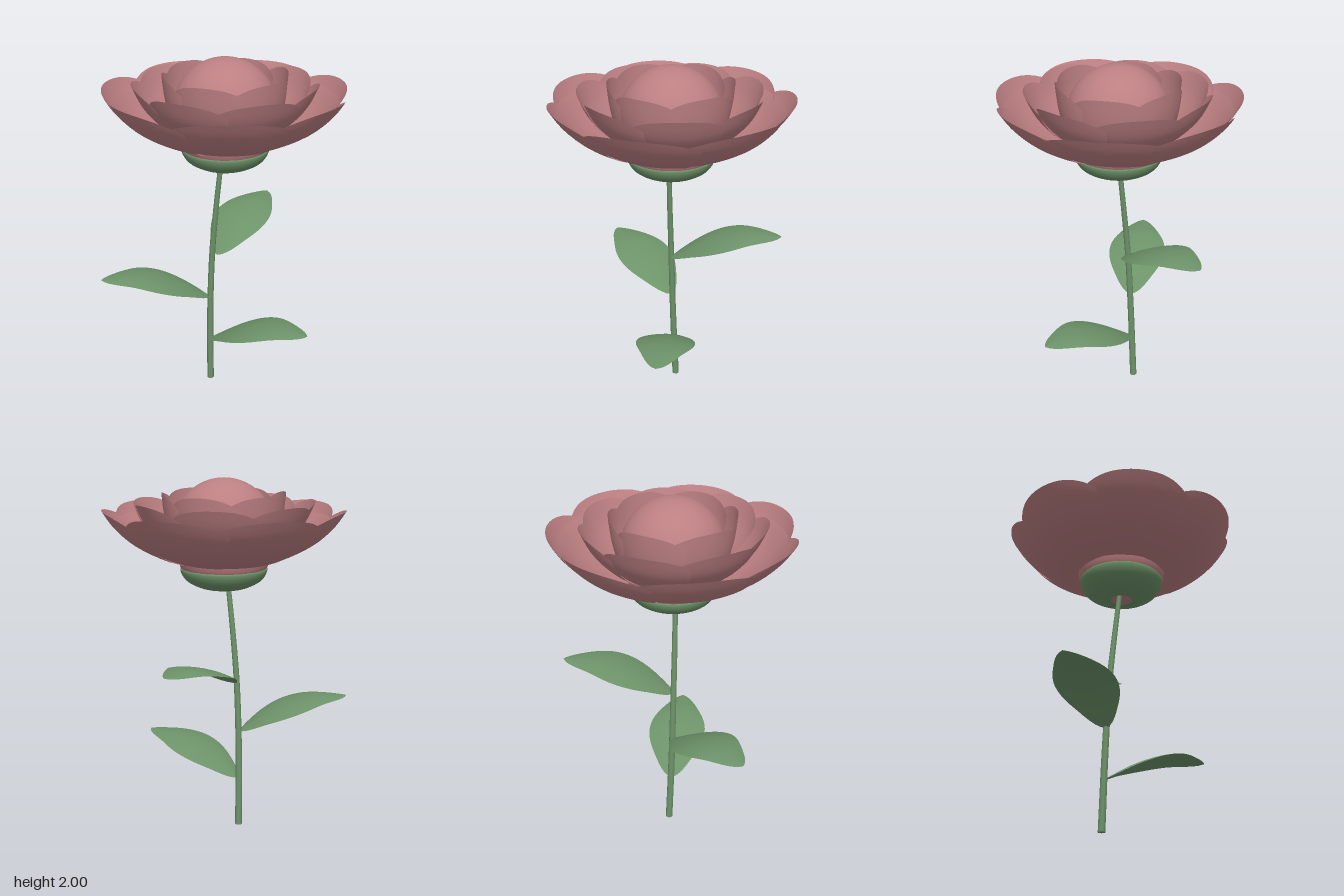
import * as THREE from 'three';

const pink = new THREE.MeshStandardMaterial({ color: 0xbc7f82, side: THREE.DoubleSide });
pink.name = 'petal pink';
const green = new THREE.MeshStandardMaterial({ color: 0x6d9369, side: THREE.DoubleSide });
green.name = 'leaf green';

// Smooth grid surface from a rule: point(u, v) with u in -1..1 and v in 0..1
function patch(point, nu, nv) {
  const geo = new THREE.PlaneGeometry(2, 1, nu, nv);
  const pos = geo.attributes.position;
  for (let i = 0; i < pos.count; i++) {
    const p = point(pos.getX(i), pos.getY(i) + 0.5);
    pos.setXYZ(i, p.x, p.y, p.z);
  }
  geo.computeVertexNormals();
  return geo;
}

const spline = (pts) => new THREE.SplineCurve(pts.map(([x, y]) => new THREE.Vector2(x, y)));

function part(name, geo, mat) {
  const mesh = new THREE.Mesh(geo, mat);
  mesh.name = name;
  return mesh;
}

// Ring of overlapping cupped petals; profile is (radius, height) from base to tip
function petalRing(name, count, startDeg, profile, overlap) {
  const ring = new THREE.Group();
  ring.name = name;
  const curve = spline(profile);
  const half = (Math.PI / count) * overlap;
  const geo = patch((u, v) => {
    const p = curve.getPoint(v * (1 - 0.2 * u * u * v));
    const a = u * half * (0.85 + 0.15 * Math.sin(v * Math.PI * 0.6));
    const r = p.x * (1 - 0.03 * u * u * v) - 0.008 * u;
    return new THREE.Vector3(r * Math.cos(a), p.y, r * Math.sin(a));
  }, 20, 14);
  for (let i = 0; i < count; i++) {
    const petal = part('petal', geo, pink);
    petal.rotation.y = -THREE.MathUtils.degToRad(startDeg + (i * 360) / count);
    ring.add(petal);
  }
  return ring;
}

// Arched leaf running out along +x, edges drooping, with a pointed tip
const leafArch = spline([[0, 0], [0.15, 0.095], [0.3, 0.16], [0.45, 0.19], [0.63, 0.182]]);
const leafGeo = patch((u, v) => {
  const p = leafArch.getPoint(v);
  const s = Math.pow(Math.sin(Math.PI * Math.min(v, 0.9999)), 0.85);
  return new THREE.Vector3(p.x, p.y - 0.025 * u * u * s, -u * 0.17 * s);
}, 10, 28);

export function createModel() {
  const model = new THREE.Group();
  model.name = 'flower';

  // Tapered, gently bent stem
  const path = new THREE.CatmullRomCurve3([
    [-0.11, 0, -0.01], [-0.1, 0.45, 0.005], [-0.08, 0.85, 0.012], [-0.05, 1.15, 0.015], [-0.018, 1.42, 0.015],
  ].map((p) => new THREE.Vector3(...p)));
  const stemGeo = new THREE.CylinderGeometry(0.014, 0.02, 1, 12, 30);
  const sp = stemGeo.attributes.position;
  for (let i = 0; i < sp.count; i++) {
    const c = path.getPoint(sp.getY(i) + 0.5);
    sp.setXYZ(i, sp.getX(i) + c.x, c.y, sp.getZ(i) + c.z);
  }
  stemGeo.computeVertexNormals();
  model.add(part('stem', stemGeo, green));

  // Leaves: x, y, z of the joint and the turn about the stem
  [[-0.1, 0.285, 0, 0], [-0.1, 0.57, 0.01, -137], [-0.05, 0.85, 0.01, 90]].forEach(([x, y, z, deg]) => {
    const leaf = part('leaf', leafGeo, green);
    leaf.position.set(x, y, z);
    leaf.rotation.y = THREE.MathUtils.degToRad(deg);
    model.add(leaf);
  });

  // Green cup, open in the middle of its underside
  const cup = [[0.06, 1.39], [0.13, 1.403], [0.2, 1.437], [0.232, 1.475], [0.24, 1.51], [0.215, 1.512]];
  model.add(part('sepalCup', new THREE.LatheGeometry(spline(cup).getPoints(24), 48), green));

  // Bud: rounded base and domed top
  const bud = [[0, 1.397], [0.06, 1.4]].map(([x, y]) => new THREE.Vector2(x, y));
  bud.push(...spline([[0.12, 1.412], [0.19, 1.455], [0.23, 1.5], [0.25, 1.545], [0.265, 1.62]]).getPoints(12));
  for (let i = 0; i <= 20; i++) {
    const a = (i / 20) * (Math.PI / 2);
    bud.push(new THREE.Vector2(0.28 * Math.cos(a), 1.72 + 0.28 * Math.sin(a)));
  }
  model.add(part('bud', new THREE.LatheGeometry(bud, 48), pink));

  // Continuous bowl lining the outer petals
  const bowl = [[0.24, 1.562], [0.36, 1.595], [0.5, 1.675], [0.605, 1.775]];
  model.add(part('innerBowl', new THREE.LatheGeometry(spline(bowl).getPoints(16), 64), pink));

  // Three rings of petals, outermost first
  model.add(petalRing('outerPetals', 7, 7.5,
    [[0.25, 1.545], [0.36, 1.58], [0.5, 1.655], [0.6, 1.745], [0.663, 1.835]], 1.2));
  model.add(petalRing('middlePetals', 7, -13,
    [[0.24, 1.59], [0.34, 1.65], [0.44, 1.755], [0.5, 1.875]], 1.2));
  model.add(petalRing('innerPetals', 6, -40,
    [[0.25, 1.6], [0.3, 1.7], [0.325, 1.8], [0.338, 1.92]], 1.25));

  return model;
}
